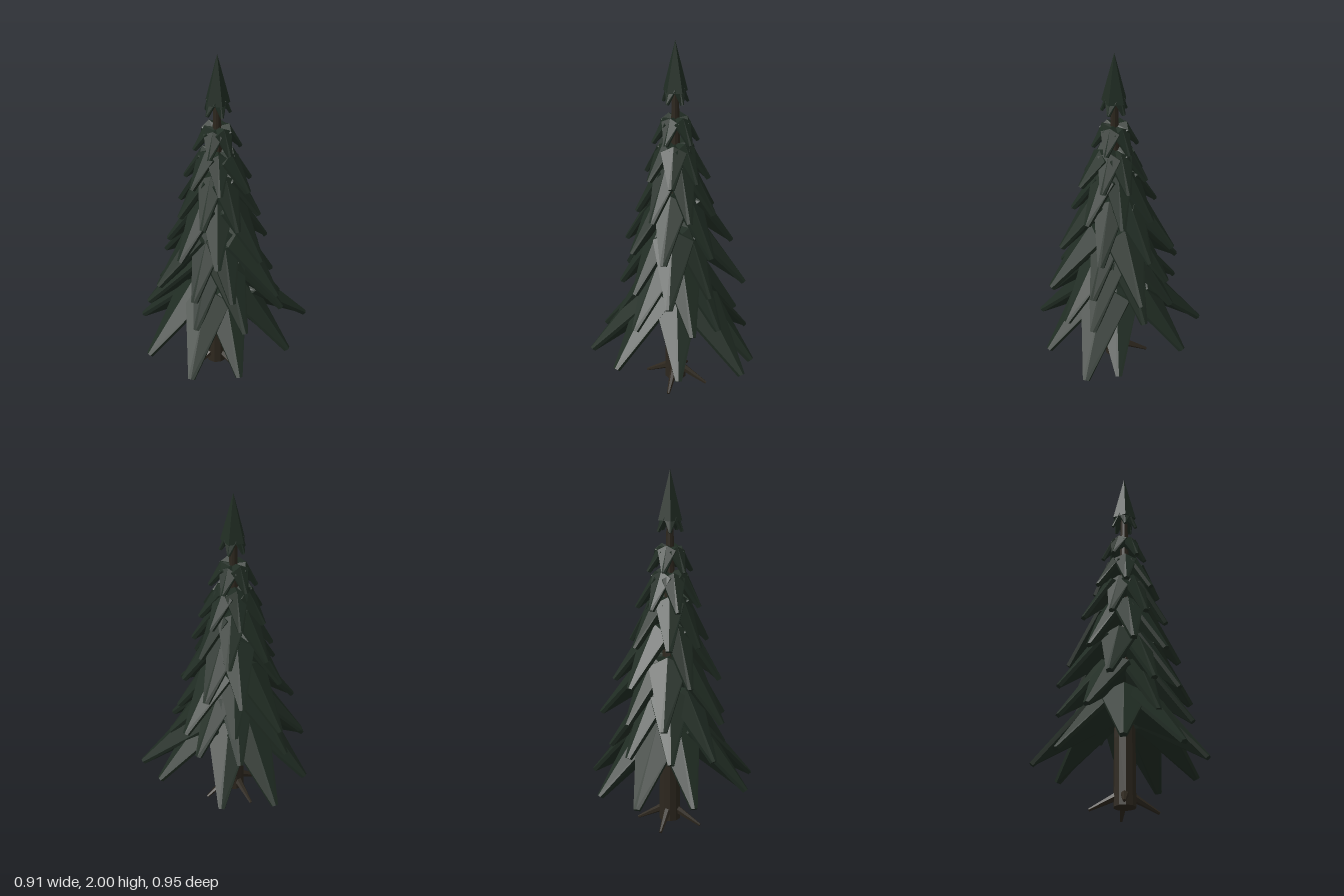
import * as THREE from 'three';

const needles = new THREE.MeshStandardMaterial({ color: 0x202c23, flatShading: true });
needles.name = 'darkGreenNeedles';
const bark = new THREE.MeshStandardMaterial({ color: 0x2d271e, flatShading: true });
bark.name = 'darkBrownBark';

const RAD = Math.PI / 180;

// Drooping bough: roof on top, keel below, lofted from trunk to broad shoulder to blunt tip.
function boughGeometry([sr, sy], [tr, ty], halfWidth, rise) {
  const slope = Math.atan2(sy - ty, tr - sr);
  const ux = Math.sin(slope), uy = Math.cos(slope);
  const lip = Math.min(0.02, halfWidth * 0.3);
  const keelY = ty + (sy - ty) * 0.5;
  // ridge, edge and keel as [radius, height], then half width
  const sections = [
    { ridge: [0.005, sy - rise], edge: [0.005, sy - rise - halfWidth * 0.3], keel: [0.005, keelY + 0.01], w: halfWidth * 0.45 },
    { ridge: [sr, sy], edge: [sr, sy - halfWidth * 0.5], keel: [sr * 0.5, keelY], w: halfWidth },
    { ridge: [tr, ty], edge: [tr - ux * 0.006, ty - uy * 0.006], keel: [tr - ux * lip * 1.3, ty - uy * lip * 1.3],
      w: Math.min(0.017, halfWidth * 0.22) },
  ];
  const rings = sections.map(({ ridge, edge, keel, w }) => {
    const low = [edge[0] - ux * lip, edge[1] - uy * lip];
    return [[...ridge, 0], [...edge, w], [...low, w], [...keel, 0], [...low, -w], [...edge, -w]];
  });
  const pos = [];
  const tri = (a, b, c) => pos.push(...a, ...b, ...c);
  for (let s = 0; s < 2; s++) {
    for (let i = 0; i < 6; i++) {
      const j = (i + 1) % 6, p = rings[s], q = rings[s + 1];
      tri(p[i], p[j], q[j]);
      tri(p[i], q[j], q[i]);
    }
  }
  for (let i = 1; i < 5; i++) {
    tri(rings[2][0], rings[2][i], rings[2][i + 1]);
    tri(rings[0][0], rings[0][i + 1], rings[0][i]);
  }
  const g = new THREE.BufferGeometry();
  g.setAttribute('position', new THREE.Float32BufferAttribute(pos, 3));
  g.computeVertexNormals();
  return g;
}

// Tiers from bottom to top; each bough is [angle from +x towards +z, reach].
const TIERS = [
  { tip: 0.262, top: 0.65, boughs: [[25, 0.46], [58, 0.485], [97, 0.465], [147, 0.455], [185, 0.495],
    [222, 0.46], [277, 0.48], [297, 0.54], [337, 0.455]] },
  { tip: 0.478, top: 0.83, boughs: [[16, 0.375], [62, 0.32], [126, 0.395], [163, 0.385], [207, 0.34],
    [250, 0.34], [299, 0.37], [325, 0.385]] },
  { tip: 0.657, top: 1.0, boughs: [[344, 0.4], [25, 0.32], [65, 0.31], [109, 0.355], [169, 0.375],
    [212, 0.32], [257, 0.39], [302, 0.32]] },
  { tip: 0.867, top: 1.18, boughs: [[351, 0.32], [40, 0.28], [86, 0.29], [140, 0.28], [205, 0.335],
    [242, 0.32], [295, 0.29]] },
  { tip: 1.066, top: 1.33, boughs: [[12, 0.24], [62, 0.22], [115, 0.22], [165, 0.25], [220, 0.24],
    [268, 0.23], [320, 0.24]] },
  { tip: 1.265, top: 1.46, boughs: [[345, 0.21], [35, 0.18], [92, 0.18], [150, 0.19], [200, 0.18],
    [255, 0.19], [300, 0.19]] },
  { tip: 1.462, top: 1.595, boughs: [[5, 0.125], [60, 0.13], [125, 0.13], [180, 0.13], [240, 0.13],
    [300, 0.135]] },
];

export function createModel() {
  const model = new THREE.Group();
  const tree = new THREE.Group();
  tree.name = 'pineTree';
  tree.position.set(0.035, 0, 0.01);
  model.add(tree);

  function add(parent, name, geometry, material) {
    const m = new THREE.Mesh(geometry, material);
    m.name = name;
    parent.add(m);
    return m;
  }

  // Trunk: straight foot, then a long taper
  const profile = [[0, 0.03], [0.06, 0.03], [0.058, 0.4], [0.045, 0.9], [0.024, 1.5], [0.018, 1.8], [0, 1.8]];
  add(tree, 'trunk', new THREE.LatheGeometry(profile.map(([x, y]) => new THREE.Vector2(x, y)), 10), bark);

  // Four splayed roots
  const roots = new THREE.Group();
  roots.name = 'roots';
  tree.add(roots);
  for (const angle of [-8, 97, 180, 270]) {
    const c = Math.cos(angle * RAD), s = Math.sin(angle * RAD);
    const from = new THREE.Vector3(0.03 * c, 0.095, 0.03 * s);
    const to = new THREE.Vector3(0.185 * c, 0.012, 0.185 * s);
    const dir = to.clone().sub(from);
    const root = add(roots, 'root', new THREE.CylinderGeometry(0.008, 0.024, dir.length(), 6), bark);
    root.position.copy(from).add(to).multiplyScalar(0.5);
    root.quaternion.setFromUnitVectors(new THREE.Vector3(0, 1, 0), dir.normalize());
  }

  // Tiers of boughs
  TIERS.forEach((tier, n) => {
    const group = new THREE.Group();
    group.name = 'boughTier' + (n + 1);
    tree.add(group);
    tier.boughs.forEach(([angle, reach], i) => {
      const lift = ((i * 7 + n * 3) % 5 - 2) * 0.003;
      const g = boughGeometry([0.025 + reach * 0.3, tier.top + lift], [reach, tier.tip + lift],
        0.022 + reach * 0.22, 0.005 + reach * 0.04);
      add(group, 'bough', g, needles).rotation.y = -angle * RAD;
    });
  });

  // Pointed crown with a ragged skirt
  const crown = new THREE.Group();
  crown.name = 'crown';
  tree.add(crown);
  const spire = add(crown, 'spire', new THREE.ConeGeometry(0.068, 0.27, 5), needles);
  spire.position.y = 1.865;
  for (let i = 0; i < 5; i++) {
    const g = boughGeometry([0.042, 1.765], [0.076, 1.672], 0.034, 0.01);
    add(crown, 'crownSpike', g, needles).rotation.y = -(i * 72 + 18) * RAD;
  }
  return model;
}
